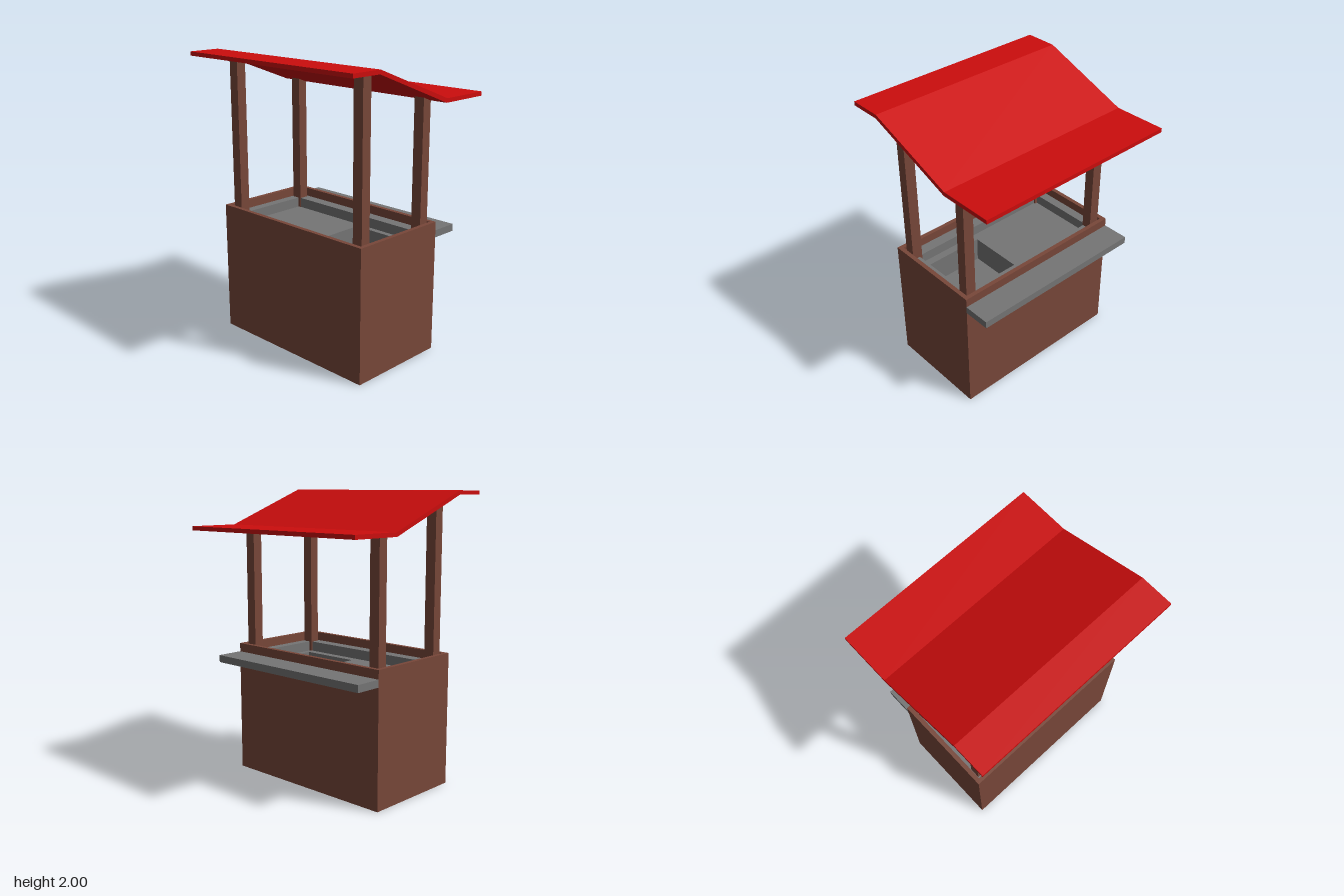
import * as THREE from 'three';

const brown = new THREE.MeshStandardMaterial({ color: 0x784739 });
const red = new THREE.MeshStandardMaterial({ color: 0xcc0d0d });
const grey = new THREE.MeshStandardMaterial({ color: 0x757575 });
brown.name = 'brown wood';
red.name = 'red roofing';
grey.name = 'grey metal';

// Rectangles are [xMin, xMax, zMin, zMax]; the outline is in x and -z
const corners = ([x0, x1, z0, z1]) => [[x0, -z1], [x1, -z1], [x1, -z0], [x0, -z0]]
  .map(([x, y]) => new THREE.Vector2(x, y));

export function createModel() {
  const group = new THREE.Group();

  function add(name, geometry, material) {
    const mesh = new THREE.Mesh(geometry, material);
    mesh.name = name;
    group.add(mesh);
    return mesh;
  }

  // Horizontal slab from y0 to y1 with an optional rectangular opening
  function slab(name, rect, hole, y0, y1, material) {
    const shape = new THREE.Shape(corners(rect));
    if (hole) shape.holes.push(new THREE.Path(corners(hole)));
    const geometry = new THREE.ExtrudeGeometry(shape, { depth: y1 - y0, bevelEnabled: false });
    geometry.rotateX(-Math.PI / 2).translate(0, y0, 0);
    return add(name, geometry, material);
  }

  // Side profile in x and y, extruded from z0 to z1
  function profile(name, points, z0, z1, material) {
    const shape = new THREE.Shape(points.map(([x, y]) => new THREE.Vector2(x, y)));
    const geometry = new THREE.ExtrudeGeometry(shape, { depth: z1 - z0, bevelEnabled: false });
    geometry.translate(0, 0, z0);
    return add(name, geometry, material);
  }

  const outer = [-0.44, 0.29, -0.65, 0.65];
  const inner = [-0.41, 0.26, -0.62, 0.62];
  const recess = [-0.33, 0.18, -0.555, 0.555];
  const pit = [-0.275, 0.14, 0.08, 0.515];

  // Cabinet: solid base with a raised rim
  slab('cabinetBase', outer, null, 0, 0.6, brown);
  slab('cabinetWalls', outer, inner, 0.6, 0.92, brown);

  // Worktop: ledge, shallow recess and a deeper sink
  slab('worktopLedge', inner, recess, 0.79, 0.86, grey);
  slab('worktopFloor', inner, pit, 0.615, 0.79, grey);
  slab('sinkFloor', inner, null, 0.6, 0.615, grey);

  // Serving shelf
  slab('servingShelf', [0.29, 0.48, -0.65, 0.65], null, 0.81, 0.86, grey);

  // Posts, cut to the slope of the roof
  for (const [z0, z1] of [[-0.61, -0.535], [0.535, 0.61]]) {
    profile('tallPost', [[-0.39, 0.79], [-0.32, 0.79], [-0.32, 1.946], [-0.39, 1.973]], z0, z1, brown);
    profile('shortPost', [[0.175, 0.79], [0.245, 0.79], [0.245, 1.733], [0.175, 1.758]], z0, z1, brown);
  }

  // Roof: flat, sloped, flat
  const top = [[0.613, 1.76], [0.245, 1.76], [-0.387, 2], [-0.615, 2]];
  const under = [[-0.615, 1.973], [-0.392, 1.973], [0.24, 1.732], [0.613, 1.732]];
  profile('roof', [...under, ...top], -0.74, 0.74, red);

  return group;
}
